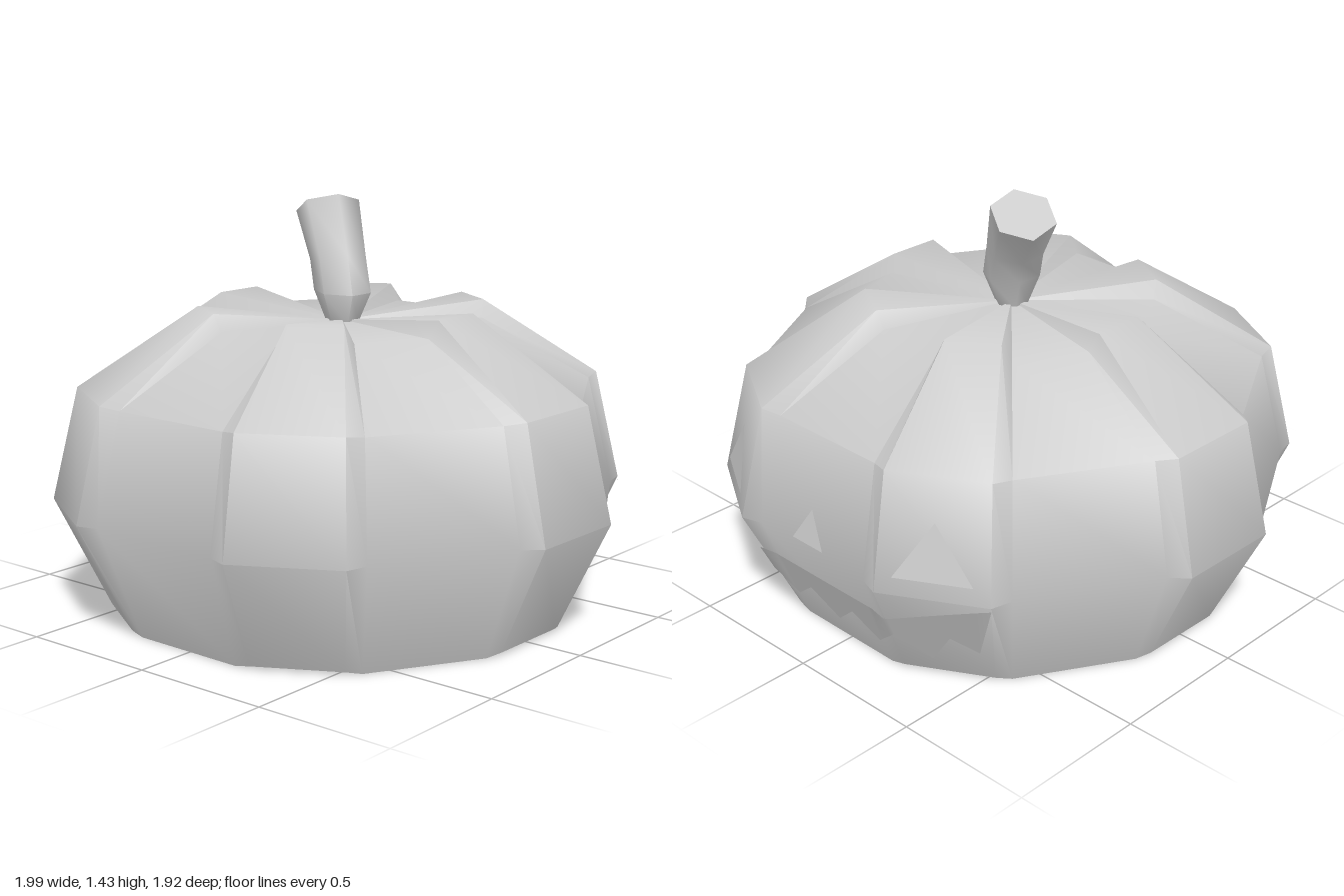
import * as THREE from 'three';
import { toCreasedNormals } from 'three/addons/utils/BufferGeometryUtils.js';

const RAD = Math.PI / 180;
const V = (x, y, z) => new THREE.Vector3(x, y, z);
const polar = (deg, r, y) => V(r * Math.cos(deg * RAD), y, r * Math.sin(deg * RAD));

// Skin a list of equal-length rows (bottom to top, angle increasing)
function loft(rows, closed, crease) {
  const pos = [];
  const tri = (a, b, c) => {
    const area = b.clone().sub(a).cross(c.clone().sub(a)).length();
    if (area > 1e-7) for (const p of [a, b, c]) pos.push(p.x, p.y, p.z);
  };
  for (let j = 0; j < rows.length - 1; j++) {
    const lo = rows[j], hi = rows[j + 1], n = lo.length;
    for (let i = 0; i < (closed ? n : n - 1); i++) {
      const k = (i + 1) % n;
      tri(lo[i], hi[i], hi[k]);
      tri(lo[i], hi[k], lo[k]);
    }
  }
  const g = new THREE.BufferGeometry();
  g.setAttribute('position', new THREE.Float32BufferAttribute(pos, 3));
  return toCreasedNormals(g, crease);
}

// Piecewise-linear lookup in [[x, y], ...]
function lookup(pts, x) {
  for (let i = 0; i < pts.length - 1; i++) {
    const [x0, y0] = pts[i], [x1, y1] = pts[i + 1];
    if (x <= x1) return y0 + (y1 - y0) * Math.max(0, (x - x0) / (x1 - x0));
  }
  return pts[pts.length - 1][1];
}

// Profiles [y, radius] of the raised ridges and the valleys beside them
const RIDGE = [[0.01, 0.82], [0.4, 1.01], [0.79, 0.918], [1.06, 0.5]];
const VALLEY = [[0, 0.81], [0.4, 0.965], [0.78, 0.875], [1.0, 0.49]];
const TURN = 0.7;
const COLS = [];
for (let k = 0; k < 6; k++)
  for (const [off, prof] of [[-14.7, VALLEY], [-10.9, RIDGE], [10.9, RIDGE], [14.7, VALLEY]])
    COLS.push({ a: TURN + 60 * k + off, prof });

// Radius of the pumpkin skin at an angle and height
function skin(a, y) {
  let i = COLS.length - 1;
  while (i > 0 && COLS[i].a > a) i--;
  const p = COLS[i], q = COLS[(i + 1) % COLS.length];
  const span = (q.a - p.a + 360) % 360, t = a - p.a;
  const r1 = lookup(p.prof, y), r2 = lookup(q.prof, y);
  return r1 * r2 * Math.sin(span * RAD) /
    (r1 * Math.sin(t * RAD) + r2 * Math.sin((span - t) * RAD));
}

// Thin sheet lying on the skin between a top and a bottom outline of [angle, y]
function skinSheet(centre, top, bottom) {
  const stops = new Set([...top, ...bottom].map(p => p[0] + centre));
  const first = Math.min(...stops), last = Math.max(...stops);
  COLS.forEach(c => { if (c.a > first && c.a < last) stops.add(c.a); });
  const angles = [...stops].sort((a, b) => a - b);
  const rows = [0, 0.5, 1].map(t => angles.map(a => {
    const lo = lookup(bottom, a - centre), hi = lookup(top, a - centre);
    const y = lo + (hi - lo) * t;
    return polar(a, skin(a, y) + 0.008, y);
  }));
  return loft(rows, false, 0.8);
}

export function createModel() {
  const group = new THREE.Group();
  const grey = new THREE.MeshStandardMaterial({ color: 0xcccccc });
  grey.name = 'paleGrey';
  const add = (name, geometry) => {
    const mesh = new THREE.Mesh(geometry, grey);
    mesh.name = name;
    group.add(mesh);
  };

  // Ribbed body with flat base and dimpled top
  const rings = [0, 1, 2, 3].map(j => COLS.map(c => polar(c.a, c.prof[j][1], c.prof[j][0])));
  add('body', loft([
    COLS.map(() => V(0, 0, 0)), ...rings, COLS.map(() => V(0, 1, 0)),
  ], true, 48 * RAD));

  // Bent six-sided stem: x, y, z, radius, slope in x, slope in z
  const stem = [
    [0, 0.99, 0, 0.055, 0, 0],
    [0, 1.1, 0, 0.1, -0.05, 0],
    [-0.045, 1.21, -0.03, 0.098, 0.15, 0.1],
    [-0.15, 1.38, -0.1, 0.112, 0.36, 0.25],
  ].map(([x, y, z, r, sx, sz]) => Array.from({ length: 6 }, (_, i) => {
    const p = polar(30 + 60 * i, r, 0);
    return V(x + p.x, y + sx * p.x + sz * p.z, z + p.z);
  }));
  stem.push(stem[3].map(() => V(-0.15, 1.38, -0.1)));
  add('stem', loft(stem, true, 65 * RAD));

  // Carved face on the back: triangular eyes and nose, jagged mouth
  const triangle = (centre, half, y0, y1) => skinSheet(centre,
    [[-half, y0], [0, y1], [half, y0]], [[-half, y0], [half, y0]]);
  add('rightEye', triangle(240.7, 7.7, 0.46, 0.65));
  add('leftEye', triangle(300.7, 7.7, 0.46, 0.65));
  add('nose', triangle(271.5, 4.5, 0.42, 0.54));

  const halfTeeth = [[-41, 0.39], [-38, 0.15], [-32, 0.21], [-27, 0.08],
    [-20, 0.19], [-14, 0.1], [-7, 0.18]];
  const teeth = [...halfTeeth, [0, 0.09], ...halfTeeth.map(([a, y]) => [-a, y]).reverse()];
  add('mouth', skinSheet(270.7,
    [[-41, 0.39], [-20, 0.27], [20, 0.27], [41, 0.39]], teeth));

  return group;
}
